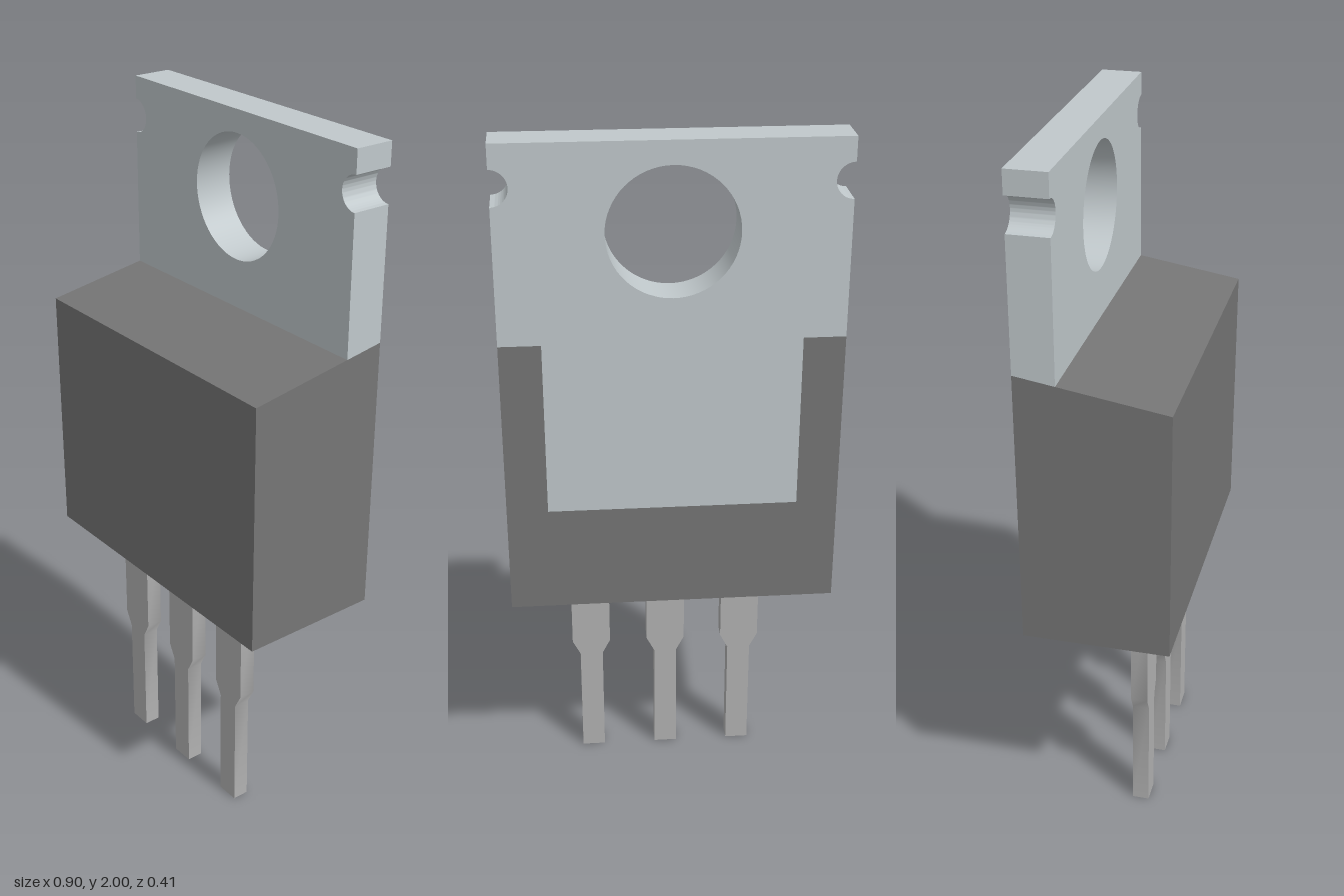
import * as THREE from 'three';
import { toCreasedNormals } from 'three/addons/utils/BufferGeometryUtils.js';

const BACK = -0.204, SEAM = -0.092, FRONT = 0.204; // z layers
const BOTTOM = 0.69, SHOULDER = 1.46, POCKET = 0.99; // y levels
const HALF = 0.452, POCKET_HALF = 0.34;

const paint = (color) => new THREE.MeshStandardMaterial({ color });

// Tilt every vertex on the shoulder line onto the sloped top of the body
function slopeShoulder(geometry) {
  const p = geometry.attributes.position;
  for (let i = 0; i < p.count; i++) {
    if (Math.abs(p.getY(i) - SHOULDER) < 1e-4) p.setY(i, 1.4425 - 0.159 * p.getZ(i));
  }
  return toCreasedNormals(geometry, 0.5);
}

function plate(shape, z0, z1) {
  const g = new THREE.ExtrudeGeometry(shape, { depth: z1 - z0, bevelEnabled: false, curveSegments: 32 });
  return slopeShoulder(g.translate(0, 0, z0));
}

const outline = (points) => new THREE.Shape(points.map(([x, y]) => new THREE.Vector2(x, y)));

export function createModel() {
  const model = new THREE.Group();
  const add = (name, geometry, material, parent = model) => {
    const mesh = new THREE.Mesh(geometry, material);
    mesh.name = name;
    parent.add(mesh);
    return mesh;
  };

  // Moulded body: sloped front block and a U-shaped frame around the metal tab
  const bodyPaint = paint(0x757575);
  const body = new THREE.Group();
  body.name = 'body';
  model.add(body);
  const block = new THREE.BoxGeometry(2 * HALF, SHOULDER - BOTTOM, FRONT - SEAM);
  block.translate(0, (SHOULDER + BOTTOM) / 2, (FRONT + SEAM) / 2);
  add('bodyBlock', slopeShoulder(block), bodyPaint, body);
  add('bodyBackFrame', plate(outline([
    [-HALF, BOTTOM], [HALF, BOTTOM], [HALF, SHOULDER], [POCKET_HALF, SHOULDER],
    [POCKET_HALF, POCKET], [-POCKET_HALF, POCKET], [-POCKET_HALF, SHOULDER], [-HALF, SHOULDER],
  ]), BACK, SEAM), bodyPaint, body);

  // Metal tab with mounting hole and a round notch in each side
  const tab = outline([
    [-HALF, SHOULDER], [-POCKET_HALF, SHOULDER], [-POCKET_HALF, POCKET],
    [POCKET_HALF, POCKET], [POCKET_HALF, SHOULDER], [HALF, SHOULDER],
  ]);
  const notchY = 1.889, notchR = 0.047;
  tab.lineTo(HALF, notchY - notchR);
  tab.absarc(HALF, notchY, notchR, -Math.PI / 2, -Math.PI * 1.5, true);
  tab.lineTo(HALF, 2);
  tab.lineTo(-HALF, 2);
  tab.lineTo(-HALF, notchY + notchR);
  tab.absarc(-HALF, notchY, notchR, Math.PI / 2, -Math.PI / 2, true);
  tab.lineTo(-HALF, SHOULDER);
  tab.holes.push(new THREE.Path().absarc(0, 1.766, 0.172, 0, Math.PI * 2, true));
  add('mountingTab', plate(tab, BACK, SEAM), paint(0xc0c8cb));

  // Three stepped legs
  const legPaint = paint(0xb2b2b2);
  const leg = plate(outline([
    [-0.034, 0], [0.034, 0], [0.034, 0.345], [0.057, 0.39], [0.057, BOTTOM + 0.02],
    [-0.057, BOTTOM + 0.02], [-0.057, 0.39], [-0.034, 0.345],
  ]), 0.057, 0.105);
  ['rightLeg', 'middleLeg', 'leftLeg'].forEach((name, i) => {
    add(name, leg, legPaint).position.x = (i - 1) * 0.227;
  });

  return model;
}
